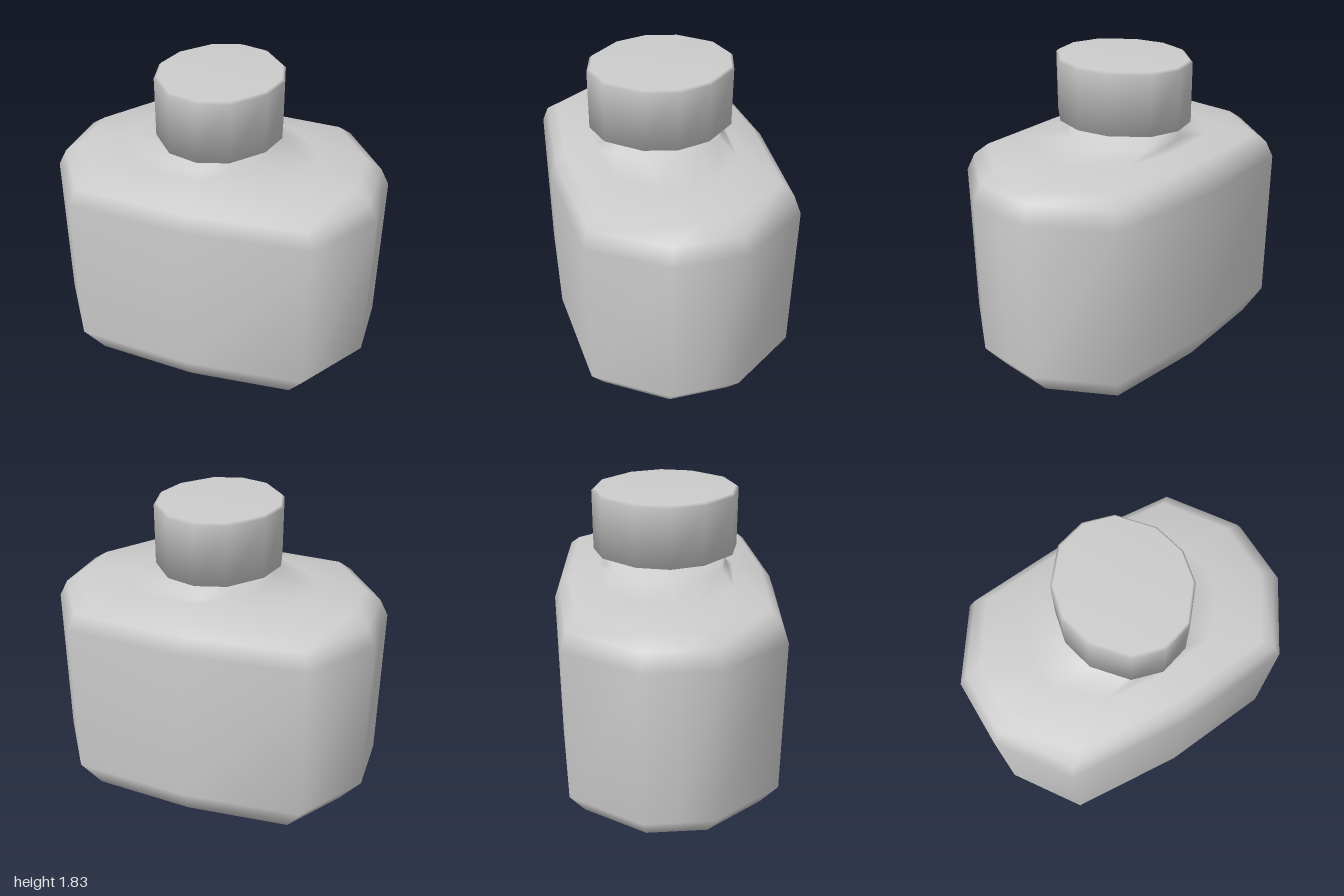
import * as THREE from 'three';

// Mirror a quarter outline (front to side) into a closed 12-point outline.
function fullOutline(quarter) {
  const half = [...quarter, ...quarter.slice(0, -1).reverse().map(([x, z]) => [x, -z])];
  return [...half, ...half.slice(1, -1).reverse().map(([x, z]) => [-x, z])];
}

// Unit outlines: the chamfered body and the oval neck and cap.
const BODY = fullOutline([[0, 1], [0.72, 0.915], [1, 0.305], [1, 0]]);
const OVAL = fullOutline([[0, 1], [0.47, 0.88], [0.88, 0.45], [1, 0]]);

// Smooth closed skin over rings of [y, half width, half depth, blend from BODY to OVAL].
function loft(name, rings) {
  const n = BODY.length;
  const positions = [];
  const index = [];
  for (const [y, width, depth, blend] of rings) {
    for (let i = 0; i < n; i++) {
      positions.push(
        THREE.MathUtils.lerp(BODY[i][0], OVAL[i][0], blend) * width,
        y,
        THREE.MathUtils.lerp(BODY[i][1], OVAL[i][1], blend) * depth
      );
    }
  }
  const last = (rings.length - 1) * n;
  const bottom = rings.length * n;
  positions.push(0, rings[0][0], 0, 0, rings[rings.length - 1][0], 0);
  for (let i = 0; i < n; i++) {
    const k = (i + 1) % n;
    for (let r = 0; r < last; r += n) {
      index.push(r + i, r + k, r + n + k, r + i, r + n + k, r + n + i);
    }
    index.push(bottom, k, i, bottom + 1, last + i, last + k);
  }
  const geometry = new THREE.BufferGeometry();
  geometry.setAttribute('position', new THREE.Float32BufferAttribute(positions, 3));
  geometry.setIndex(index);
  geometry.computeVertexNormals();
  const mesh = new THREE.Mesh(geometry, new THREE.MeshStandardMaterial({ color: 0xcccccc }));
  mesh.name = name;
  return mesh;
}

export function createModel() {
  const bottle = new THREE.Group();
  bottle.name = 'bottle';

  // Body with a tapered foot, rounded shoulder and short neck
  bottle.add(loft('bottleBody', [
    [0, 0.87, 0.59, 0],
    [0.17, 1, 0.68, 0],
    [1.14, 1, 0.68, 0],
    [1.24, 0.95, 0.645, 0],
    [1.3, 0.86, 0.585, 0],
    [1.325, 0.6, 0.41, 0.5],
    [1.35, 0.32, 0.37, 1],
    [1.46, 0.32, 0.365, 1],
  ]));

  // Oval cap with a fine bevel around the top
  bottle.add(loft('cap', [
    [1.455, 0.38, 0.432, 1],
    [1.812, 0.38, 0.432, 1],
    [1.826, 0.365, 0.415, 1],
  ]));

  return bottle;
}
